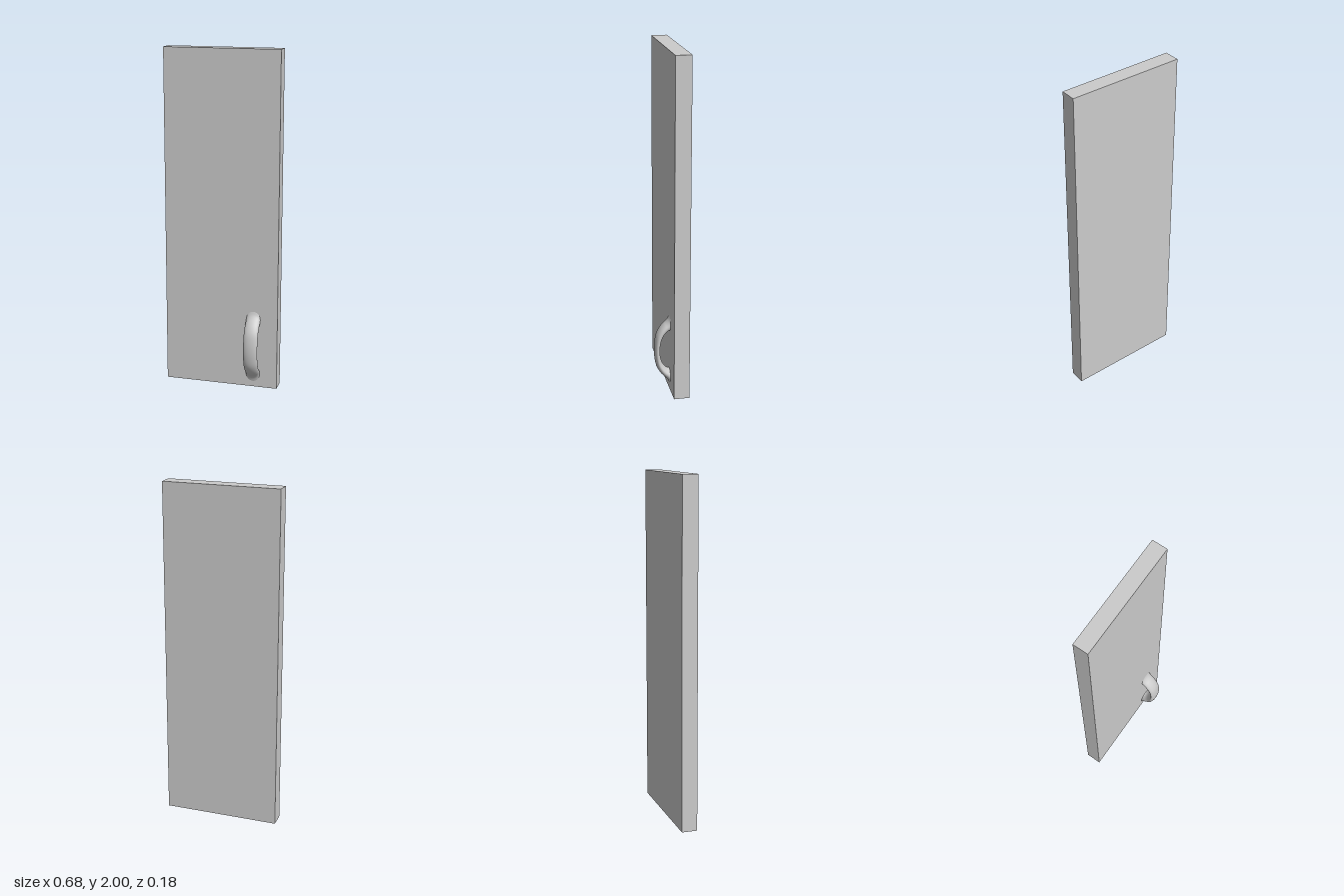
import * as THREE from 'three';

const material = new THREE.MeshStandardMaterial({ color: 0xcccccc });

// Sweep elliptical rings between an outer and an inner edge curve
function sweepBetween(outer, inner, halfWidth, steps, sides) {
  const positions = [], index = [];
  for (let i = 0; i <= steps; i++) {
    const o = outer.getPoint(i / steps), n = inner.getPoint(i / steps);
    const centre = o.clone().add(n).multiplyScalar(0.5);
    const half = o.clone().sub(n).multiplyScalar(0.5);
    for (let j = 0; j < sides; j++) {
      const a = (j / sides) * Math.PI * 2;
      const p = centre.clone().addScaledVector(half, Math.cos(a));
      positions.push(p.x + halfWidth * Math.sin(a), p.y, p.z);
      if (i === steps) continue;
      const k = (j + 1) % sides;
      const p0 = i * sides + j, p1 = p0 + sides, q0 = i * sides + k, q1 = q0 + sides;
      index.push(p0, p1, q0, q0, p1, q1);
    }
  }
  const geometry = new THREE.BufferGeometry();
  geometry.setAttribute('position', new THREE.Float32BufferAttribute(positions, 3));
  geometry.setIndex(index);
  geometry.computeVertexNormals();
  return geometry;
}

// Mirror a half profile of [y, z] points, top foot to middle, into a full arch
function archCurve(half) {
  const lower = half.slice(0, -1).reverse().map(([y, z]) => [-y, z]);
  return new THREE.CatmullRomCurve3([...half, ...lower].map(([y, z]) => new THREE.Vector3(0, y, z)));
}

export function createModel() {
  const group = new THREE.Group();
  group.name = 'cabinetDoor';

  // Flat door slab
  const panel = new THREE.Mesh(new THREE.BoxGeometry(0.68, 2, 0.091), material);
  panel.name = 'doorPanel';
  panel.position.set(0, 1, -0.0455);
  group.add(panel);

  // Arched pull handle with flared feet
  const outer = archCurve([[0.222, -0.001], [0.198, 0.007], [0.18, 0.02], [0.164, 0.037],
    [0.138, 0.058], [0.1, 0.077], [0.05, 0.087], [0, 0.09]]);
  const inner = archCurve([[0.122, -0.001], [0.124, 0.003], [0.122, 0.009], [0.115, 0.019],
    [0.1, 0.032], [0.075, 0.045], [0.04, 0.054], [0, 0.057]]);
  const handle = new THREE.Mesh(sweepBetween(outer, inner, 0.0425, 56, 32), material);
  handle.name = 'handle';
  handle.position.set(0.195, 0.253, 0);
  group.add(handle);

  return group;
}
